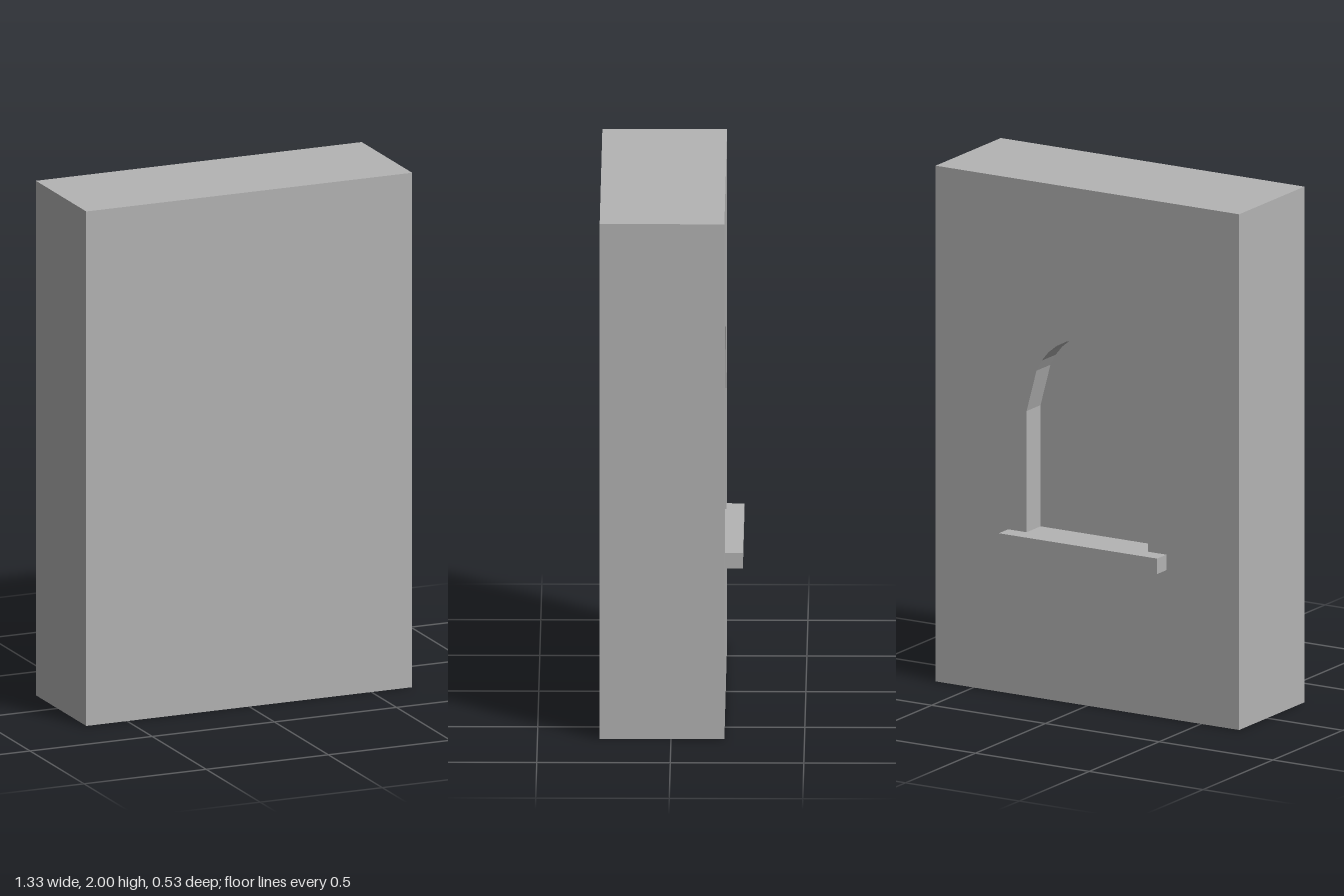
import * as THREE from 'three';

const W = 1.334, H = 2, FRONT = 0.267, BACK = -0.2, NICHE = -0.1;
const SILL_TOP = 0.635;

// Outline of the arched niche, counter-clockwise
function archPoints() {
  const pts = [[-0.267, SILL_TOP], [0.267, SILL_TOP], [0.267, 1.105]];
  const steps = 12, start = Math.PI / 8;
  for (let i = 0; i <= steps; i++) {
    const a = start + (Math.PI - 2 * start) * i / steps;
    pts.push([0.242 * Math.cos(a), 1.175 + 0.242 * Math.sin(a)]);
  }
  pts.push([-0.267, 1.105]);
  return pts.map(([x, y]) => new THREE.Vector2(x, y));
}

export function createModel() {
  const group = new THREE.Group();
  const stone = new THREE.MeshStandardMaterial({ color: 0xb4b4b4 });
  stone.name = 'stone grey';
  const add = (name, geometry) => {
    const mesh = new THREE.Mesh(geometry, stone);
    mesh.name = name;
    group.add(mesh);
  };
  const arch = archPoints();

  // Wall block without its back face
  const block = new THREE.BoxGeometry(W, H, FRONT - BACK);
  block.setIndex(Array.from(block.index.array).slice(0, 30));
  block.clearGroups();
  block.translate(0, H / 2, (FRONT + BACK) / 2);
  add('wallBlock', block);

  // Back face with the arched opening
  const face = new THREE.Shape([[-1, 0], [1, 0], [1, H], [-1, H]]
    .map(([s, y]) => new THREE.Vector2(s * W / 2, y)));
  face.holes.push(new THREE.Path(arch));
  add('wallBackFace', new THREE.ShapeGeometry(face).rotateY(Math.PI).translate(0, 0, BACK));

  // Recessed panel at the end of the niche
  add('nichePanel', new THREE.ShapeGeometry(new THREE.Shape(arch)).rotateY(Math.PI).translate(0, 0, NICHE));

  // Floor, jambs and faceted arch of the niche, facing inward
  const pos = [];
  arch.forEach((p, i) => {
    const q = arch[(i + 1) % arch.length];
    const a = [p.x, p.y, BACK], b = [q.x, q.y, BACK];
    const c = [q.x, q.y, NICHE], d = [p.x, p.y, NICHE];
    pos.push(...a, ...c, ...b, ...a, ...d, ...c);
  });
  const reveal = new THREE.BufferGeometry();
  reveal.setAttribute('position', new THREE.Float32BufferAttribute(pos, 3));
  reveal.computeVertexNormals();
  add('nicheReveal', reveal);

  // Projecting sill below the niche
  add('windowSill', new THREE.BoxGeometry(0.696, 0.06, 0.067).translate(0, SILL_TOP - 0.03, BACK - 0.0335));

  return group;
}
